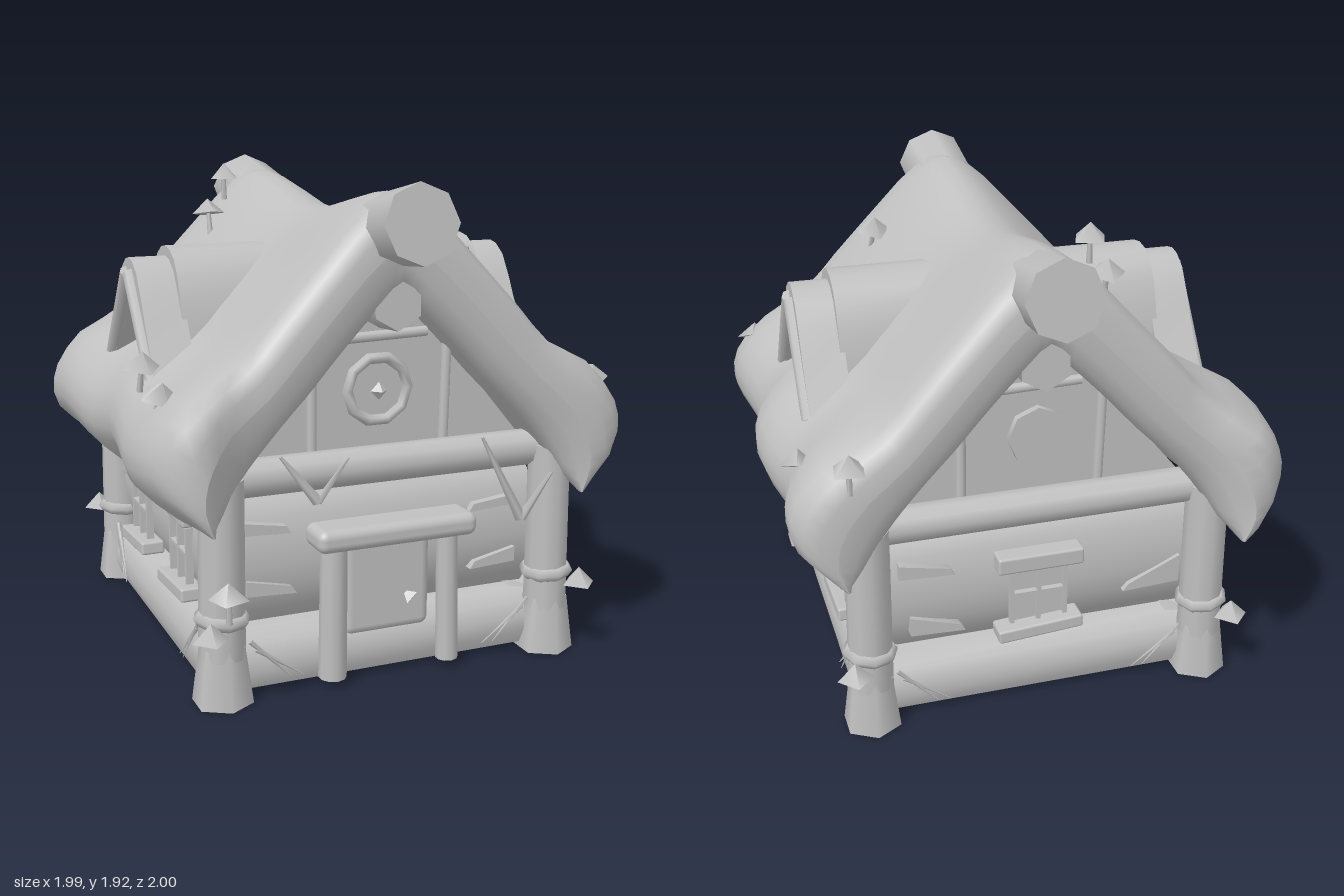
import * as THREE from 'three';
import { toCreasedNormals } from 'three/addons/utils/BufferGeometryUtils.js';
import { RoundedBoxGeometry } from 'three/addons/geometries/RoundedBoxGeometry.js';

const clay = new THREE.MeshStandardMaterial({ color: 0xc0c0c0 });
clay.name = 'clay grey';

const V = (x, y, z) => new THREE.Vector3(x, y, z);

function add(parent, name, geometry, x = 0, y = 0, z = 0) {
  const mesh = new THREE.Mesh(geometry, clay);
  mesh.name = name;
  mesh.position.set(x, y, z);
  parent.add(mesh);
  return mesh;
}

function subgroup(parent, name, angle = 0) {
  const g = new THREE.Group();
  g.name = name;
  g.rotation.y = angle;
  parent.add(g);
  return g;
}

// Tapered stick between two points
function stick(parent, name, a, b, r0, r1 = r0, sides = 8) {
  const mesh = add(parent, name, new THREE.CylinderGeometry(r1, r0, a.distanceTo(b), sides));
  mesh.position.copy(a).lerp(b, 0.5);
  mesh.quaternion.setFromUnitVectors(V(0, 1, 0), b.clone().sub(a).normalize());
  return mesh;
}

const outline = (points) => new THREE.Shape(points.map(([x, y]) => new THREE.Vector2(x, y)));
const extrude = (points, depth) =>
  toCreasedNormals(new THREE.ExtrudeGeometry(outline(points), { depth, bevelEnabled: false }), 0.8);

// Open curved sheet: a (z, y) profile swept along x
function sheet(profile, length) {
  const g = new THREE.PlaneGeometry(length, 1, 1, profile.length - 1);
  const p = g.attributes.position;
  for (let i = 0; i < p.count; i++) {
    const [z, y] = profile[Math.floor(i / 2)];
    p.setXYZ(i, p.getX(i), y, z);
  }
  g.computeVertexNormals();
  return g;
}

// Right half outline to a full outline from left to right
const mirrored = (half) => [...half.slice(1).reverse().map(([x, y]) => [-x, y]), ...half];
const spline = (half) => new THREE.CatmullRomCurve3(mirrored(half).map(([x, y]) => V(x, y, 0)));

// Thick sagging thatch, rounded off at both gable ends
function thatchGeometry() {
  const M = 36;
  const smooth = THREE.MathUtils.smoothstep;
  const outer = spline([[0, 1.865], [0.13, 1.8], [0.32, 1.61], [0.48, 1.44], [0.63, 1.28], [0.86, 1.14], [0.96, 1.0], [0.955, 0.86], [0.8, 0.7]]).getPoints(M);
  const inner = spline([[0, 1.5], [0.09, 1.43], [0.24, 1.28], [0.35, 1.16], [0.46, 1.05], [0.57, 0.93], [0.64, 0.84], [0.69, 0.77], [0.77, 0.7]]).getPoints(M);
  const stations = [[-0.87, 0], [-0.865, 0.45], [-0.84, 0.8], [-0.79, 1]];
  for (let k = -6; k <= 6; k++) stations.push([k * 0.115, 1]);
  stations.push([0.79, 1], [0.84, 0.8], [0.865, 0.45], [0.87, 0]);
  const loop = 2 * (M + 1), pos = [], index = [];
  stations.forEach(([z, full], s) => {
    for (let j = 0; j < loop; j++) {
      const i = j <= M ? j : loop - 1 - j;
      const mid = outer[i].clone().lerp(inner[i], 0.5);
      const p = mid.lerp(j <= M ? outer[i] : inner[i], full);
      const ax = Math.abs(p.x), az = Math.abs(z);
      const eave = smooth(ax, 0.5, 0.85);
      const sag = 0.11 * (1 - smooth(az, 0, 0.75)) * Math.max(0, 1 - ax / 0.65);
      const wave = p.x > 0 ? Math.cos(8.5 * (z + 0.1)) : Math.cos(5 * (z + 0.55));
      const corner = p.x < 0 ? 0.08 * Math.exp(-(((ax - 0.83) / 0.11) ** 2)) : 0;
      const x = p.x * (1 + eave * (0.03 * wave - 0.035 * smooth(az, 0.65, 0.87)));
      const y = p.y - sag + eave * 0.02 * Math.sin(10 * z + 1 + p.x);
      pos.push(x, y, z * (0.955 + 0.08 * ax + corner));
      if (s < stations.length - 1) {
        const a = s * loop + j, b = s * loop + (j + 1) % loop;
        index.push(a, a + loop, b, b, a + loop, b + loop);
      }
    }
  });
  const g = new THREE.BufferGeometry();
  g.setAttribute('position', new THREE.Float32BufferAttribute(pos, 3));
  g.setIndex(index);
  g.computeVertexNormals();
  return g;
}

// Dormer facing +x when angle is zero
function dormer(parent, name, angle) {
  const g = subgroup(parent, name, angle);
  const hood = mirrored([[0, 1.62], [0.06, 1.61], [0.12, 1.575], [0.165, 1.51], [0.2, 1.42], [0.225, 1.32], [0.25, 1.18]]);
  add(g, 'dormerHood', sheet(hood, 0.44), 0.44);
  add(g, 'dormerPanel', new THREE.ShapeGeometry(outline(hood)).rotateY(Math.PI / 2), 0.66);
  const arch = [...mirrored([[0, 1.58], [0.05, 1.57], [0.11, 1.53], [0.17, 1.44], [0.23, 1.33], [0.36, 1.12]]),
    ...mirrored([[0, 1.5], [0.05, 1.47], [0.13, 1.36], [0.29, 1.1]]).reverse()];
  add(g, 'dormerArch', extrude(arch, 0.17).rotateY(Math.PI / 2), 0.64);
  for (const s of [-1, 1]) stick(g, 'dormerBargeBoard', V(0.81, 1.52, s * 0.02), V(0.81, 1.13, s * 0.32), 0.032, 0.03);
}

// Small window on a wall that faces +z
function wallWindow(side, x, thick) {
  const g = subgroup(side, 'window');
  g.position.set(x, 0, 0.69);
  add(g, 'pane', new THREE.PlaneGeometry(0.22, 0.26), 0, 0.45, 0.005);
  for (const dx of [-0.11, 0, 0.11]) add(g, 'windowBar', new THREE.BoxGeometry(0.016, 0.24, 0.03), dx, 0.45, 0.015);
  add(g, 'crossBar', new THREE.BoxGeometry(0.2, 0.012, 0.03), 0, 0.46, 0.015);
  add(g, 'windowLintel', new RoundedBoxGeometry(0.35, thick, 0.09, 2, 0.01), 0, 0.61, 0.015);
  add(g, 'windowSill', new RoundedBoxGeometry(0.35, 0.055, 0.1, 2, 0.01), 0, 0.305, 0.02).rotation.z = 0.07;
}

// Wide pointed cap on a thin leaning stalk
function mushroom(parent, x, y, z, tilt = 0) {
  const g = subgroup(parent, 'mushroom', x * 5);
  g.position.set(x, y, z);
  g.rotation.z = tilt;
  add(g, 'stalk', new THREE.CylinderGeometry(0.009, 0.013, 0.11, 5), 0, -0.05);
  add(g, 'cap', new THREE.ConeGeometry(0.075, 0.065, 4), 0, 0.02);
}

export function createModel() {
  const model = new THREE.Group();
  model.name = 'cottage';

  // Walls: one big rounded log over a heavy sill log on every side
  add(model, 'floor', new THREE.PlaneGeometry(1.44, 1.44).rotateX(Math.PI / 2), 0, 0.02, 0);
  const sill = [[0.56, 0.25], [0.66, 0.235], [0.71, 0.195], [0.735, 0.14], [0.742, 0.08], [0.72, 0.02]];
  const wall = [[0.57, 0.79], [0.635, 0.73], [0.67, 0.66], [0.69, 0.57], [0.695, 0.48], [0.685, 0.39], [0.65, 0.3], [0.6, 0.23]];
  const sides = ['frontWall', 'rightWall', 'backWall', 'leftWall'].map((name, i) => {
    const g = subgroup(model, name, i * Math.PI / 2);
    add(g, 'sillLog', sheet(sill, 1.38));
    add(g, 'wallLog', sheet(wall, 1.3));
    return g;
  });

  // Cross beams, gables and ridge logs at both ends
  for (const g of [sides[0], sides[2]]) {
    stick(g, 'crossBeam', V(-0.65, 0.84, 0.7), V(0.68, 0.84, 0.7), 0.072, 0.072, 10);
    add(g, 'gable', new THREE.ShapeGeometry(outline([[-0.68, 0.78], [0.68, 0.78], [0.06, 1.52], [-0.06, 1.52]])), 0, 0, 0.65);
    stick(g, 'gableStud', V(-0.3, 0.9, 0.66), V(-0.3, 1.28, 0.66), 0.02);
    stick(g, 'gableStud', V(0.25, 0.9, 0.66), V(0.26, 1.32, 0.66), 0.02);
    stick(g, 'collarBeam', V(-0.22, 1.32, 0.66), V(0.17, 1.33, 0.66), 0.02);
    const end = add(g, 'ridgeLog', new THREE.CylinderGeometry(0.148, 0.135, 0.28, 8), -0.01, 1.75, 0.84);
    end.rotation.x = Math.PI / 2 - 0.15;
    stick(g, 'ridgeSupport', V(-0.02, 1.46, 0.62), V(-0.02, 1.47, 0.81), 0.11, 0.105, 6);
  }
  for (const side of [sides[1], sides[3]]) {
    wallWindow(side, -0.3, 0.075);
    wallWindow(side, 0.28, 0.04);
  }
  wallWindow(sides[2], 0, 0.07);

  // Round gable window in front, eight-sided shutter at the back
  add(model, 'roundWindowFrame', new THREE.TorusGeometry(0.125, 0.022, 6, 10), -0.03, 1.12, 0.66);
  add(model, 'roundWindowKnob', new THREE.OctahedronGeometry(0.035), -0.02, 1.11, 0.65);
  add(model, 'backShutter', new THREE.CylinderGeometry(0.12, 0.12, 0.04, 8).rotateX(Math.PI / 2), 0, 1.12, -0.66);

  // Doorway
  const door = subgroup(model, 'doorway');
  add(door, 'door', new RoundedBoxGeometry(0.37, 0.4, 0.1, 3, 0.04), -0.01, 0.36, 0.68);
  add(door, 'doorHandle', new THREE.TetrahedronGeometry(0.035), 0.08, 0.3, 0.74);
  stick(door, 'doorPost', V(-0.255, 0.03, 0.76), V(-0.25, 0.57, 0.76), 0.055, 0.052, 10);
  stick(door, 'doorPost', V(0.235, 0.03, 0.76), V(0.225, 0.57, 0.76), 0.045, 0.042, 10);
  add(door, 'doorLintel', new RoundedBoxGeometry(0.66, 0.09, 0.17, 3, 0.035), -0.01, 0.595, 0.76);

  // Split planks on the log walls: wall, x, y, width and direction, height
  for (const [i, x, y, w, h] of [[0, -0.6, 0.62, 0.2, 0.05], [0, -0.58, 0.38, 0.2, 0.06], [0, 0.55, 0.61, -0.2, 0.04], [0, 0.56, 0.37, -0.2, 0.06],
    [2, -0.56, 0.6, 0.22, 0.06], [2, 0.6, 0.4, -0.24, 0.12], [2, -0.52, 0.34, 0.22, 0.08]]) {
    const wedge = [[0, 0], [w, -0.01], [w * 0.9, 0.02], [0, h]];
    add(sides[i], 'plank', extrude(wedge, 0.05), x, y, 0.66);
  }

  // Corner posts with flared feet, collars and grass
  for (const sx of [-1, 1]) for (const sz of [-1, 1]) {
    const g = subgroup(model, 'cornerPost');
    g.position.set(sx * 0.69, 0, sz * 0.74);
    stick(g, 'post', V(0, 0.18, 0), V(-sx * 0.005, 0.86, 0), 0.088, 0.085, 10);
    add(g, 'postFoot', new THREE.CylinderGeometry(0.088, 0.118, 0.22, 6), 0, 0.11, 0);
    const collar = add(g, 'postCollar', new THREE.TorusGeometry(0.083, 0.027, 5, 8).rotateX(Math.PI / 2), 0, 0.33, 0);
    collar.rotation.z = sx * 0.08;
    add(g, 'shelfFungus', new THREE.ConeGeometry(0.07, 0.07, 4), sx * 0.08, 0.33, sz * 0.12);
    for (const [k, h] of [[0.06, 0.2], [0.13, 0.26]]) {
      stick(g, 'grassBlade', V(sx * 0.05, 0.31 - k / 2, -sz * (0.1 + k / 3)), V(sx * 0.07, 0.07, -sz * (0.14 + h * 0.7)), 0.012, 0.002, 4);
      stick(g, 'grassBlade', V(-sx * (0.08 + k / 3), 0.26 - k / 2, sz * 0.03), V(-sx * (0.1 + h * 0.8), 0.07, sz * 0.04), 0.01, 0.002, 4);
    }
  }

  // Roof
  add(model, 'thatchRoof', thatchGeometry());
  dormer(model, 'leftDormer', 0);
  dormer(model, 'rightDormer', Math.PI);

  // Hanging vines on the front beam
  const vines = [[V(-0.47, 0.93, 0.78), V(-0.33, 0.75, 0.8), V(-0.2, 0.9, 0.78)], [V(0.36, 0.92, 0.78), V(0.53, 0.58, 0.8), V(0.65, 0.76, 0.82)]];
  for (const [a, b, c] of vines) {
    stick(model, 'vine', a, b, 0.006, 0.022, 4);
    stick(model, 'vine', c, b, 0.006, 0.02, 4);
  }

  // Mushrooms on the roof and posts
  const spots = [[-0.23, 1.85, -0.55, 0], [-0.31, 1.7, -0.53, 0.2], [0.37, 1.62, 0.5, -0.3], [0.76, 1.19, -0.87, 0], [0.9, 1.1, -0.6, -0.5],
    [0.89, 1.11, 0.7, -0.5], [-0.9, 1.25, 0.5, 0.2], [-0.88, 1.17, 0.66, 0.4], [-0.72, 0.48, 0.92, 0]];
  for (const s of spots) mushroom(model, ...s);
  return model;
}
